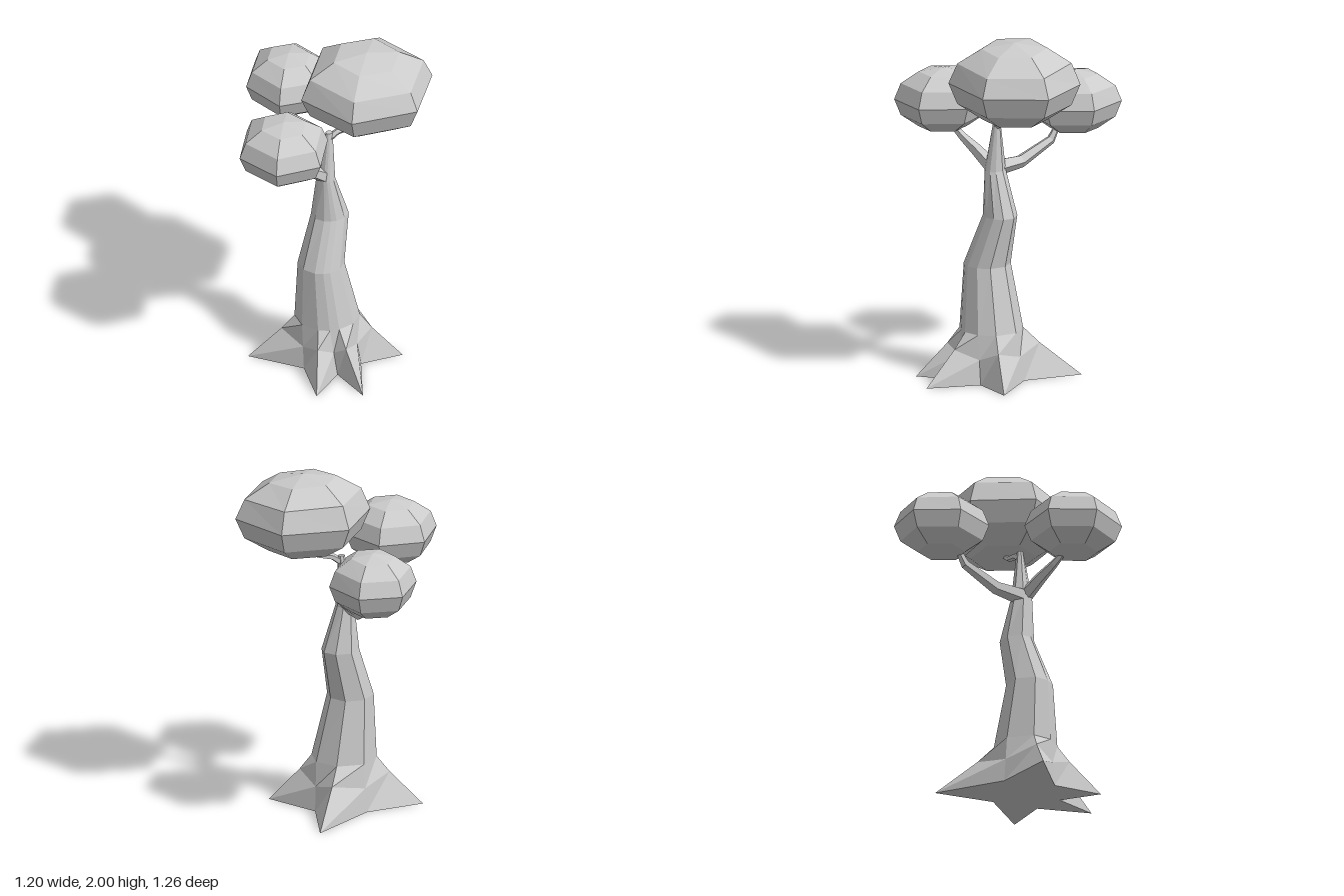
import * as THREE from 'three';

const material = new THREE.MeshStandardMaterial({ color: 0xcccccc, flatShading: true });
const V = (x, y, z) => new THREE.Vector3(x, y, z);

function addMesh(parent, name, geometry) {
  const mesh = new THREE.Mesh(geometry, material);
  mesh.name = name;
  parent.add(mesh);
}

// Skin a stack of equal-sized rings and close both ends
function loft(rings) {
  const pos = [];
  const tri = (...pts) => pts.forEach((p) => pos.push(p.x, p.y, p.z));
  const n = rings[0].length;
  const centre = (ring) => ring.reduce((s, p) => s.add(p), V(0, 0, 0)).divideScalar(n);
  const first = rings[0], last = rings[rings.length - 1];
  const c0 = centre(first), c1 = centre(last);
  for (let i = 0; i < n; i++) {
    const j = (i + 1) % n;
    for (let r = 0; r < rings.length - 1; r++) {
      const a = rings[r][i], b = rings[r][j], c = rings[r + 1][i], d = rings[r + 1][j];
      tri(a, c, b);
      tri(b, c, d);
    }
    tri(c0, first[i], first[j]);
    tri(c1, last[j], last[i]);
  }
  const g = new THREE.BufferGeometry();
  g.setAttribute('position', new THREE.Float32BufferAttribute(pos, 3));
  g.computeVertexNormals();
  return g;
}

// Trunk: a star of root tips and valleys blending into tapering oval rings
function trunkGeometry() {
  // x, z of alternating root tips and valleys
  const foot = [
    [0.21, -0.275], [0.16, 0.07], [0.37, 0.32], [0.12, 0.33], [0.03, 0.63],
    [-0.04, 0.39], [-0.22, 0.555], [-0.2, 0.27], [-0.46, 0.055], [-0.12, -0.01],
  ];
  const angles = [-65, -20, 22, 55, 86, 103, 124, 158, 194, 245].map(THREE.MathUtils.degToRad);
  // height, centre x, centre z, radius x, radius z
  const levels = [
    [0.28, -0.03, 0.175, 0.185, 0.178],
    [0.65, -0.068, 0.18, 0.132, 0.133],
    [0.94, 0, 0.135, 0.108, 0.094],
    [1.2, -0.03, 0.15, 0.052, 0.062],
    [1.5, -0.01, 0.15, 0.02, 0.018],
  ];
  const ovals = levels.map(([y, cx, cz, rx, rz]) =>
    angles.map((a) => V(cx + rx * Math.cos(a), y, cz + rz * Math.sin(a))));
  const base = foot.map(([x, z]) => V(x, 0, z));
  const middle = base.map((p, i) => {
    const isTip = i % 2 === 0;
    const m = ovals[0][i].clone().lerp(p, isTip ? 0.28 : 0.5);
    m.y = isTip ? 0.19 : 0.14;
    return m;
  });
  return loft([base, middle, ...ovals]);
}

// Branch: five-sided limb tapering along a few points
function branchGeometry(points, r0, r1) {
  const last = points.length - 1;
  return loft(points.map((p, k) => {
    const dir = points[Math.min(k + 1, last)].clone().sub(points[Math.max(k - 1, 0)]).normalize();
    const u = dir.clone().cross(V(0, 1, 0)).normalize();
    const v = u.clone().cross(dir);
    const r = THREE.MathUtils.lerp(r0, r1, k / last);
    return Array.from({ length: 5 }, (_, i) => {
      const a = (i / 5) * Math.PI * 2;
      return p.clone().addScaledVector(u, r * Math.cos(a)).addScaledVector(v, r * Math.sin(a));
    });
  }));
}

// Foliage: hexagonal blob whose upper half leans by a slope in x and z
function crownGeometry([cx, cy, cz], [rx, ry, rz], [leanX, leanZ], turn) {
  const g = new THREE.SphereGeometry(1, 6, 6);
  g.rotateY(turn);
  g.scale(rx, ry, rz);
  const p = g.attributes.position;
  for (let i = 0; i < p.count; i++) {
    const x = p.getX(i), y = p.getY(i), z = p.getZ(i);
    const up = Math.max(0, y / ry);
    p.setY(i, y + up * (leanX * x + leanZ * z));
  }
  g.translate(cx, cy, cz);
  g.computeVertexNormals();
  return g;
}

export function createModel() {
  const tree = new THREE.Group();
  tree.name = 'tree';

  addMesh(tree, 'trunkWithRoots', trunkGeometry());

  addMesh(tree, 'rightBranch', branchGeometry(
    [V(-0.03, 1.21, 0.16), V(-0.14, 1.3, 0.21), V(-0.22, 1.36, 0.25), V(-0.29, 1.43, 0.29)], 0.045, 0.015));
  addMesh(tree, 'backBranch', branchGeometry(
    [V(-0.04, 1.21, 0.14), V(-0.07, 1.215, -0.04), V(-0.08, 1.31, -0.24), V(-0.08, 1.4, -0.29)], 0.05, 0.015));
  addMesh(tree, 'topBranch', branchGeometry(
    [V(-0.01, 1.46, 0.15), V(0.04, 1.495, 0.15), V(0.12, 1.51, 0.15), V(0.19, 1.56, 0.15)], 0.022, 0.014));

  addMesh(tree, 'topCrown', crownGeometry([0.21, 1.765, 0.162], [0.39, 0.24, 0.366], [-0.04, -0.06], 0));
  addMesh(tree, 'rightCrown', crownGeometry([-0.335, 1.565, 0.315], [0.265, 0.185, 0.278], [0, 0], 0.03));
  addMesh(tree, 'backCrown', crownGeometry([-0.07, 1.52, -0.385], [0.25, 0.185, 0.275], [0, 0.03], -0.04));

  return tree;
}
